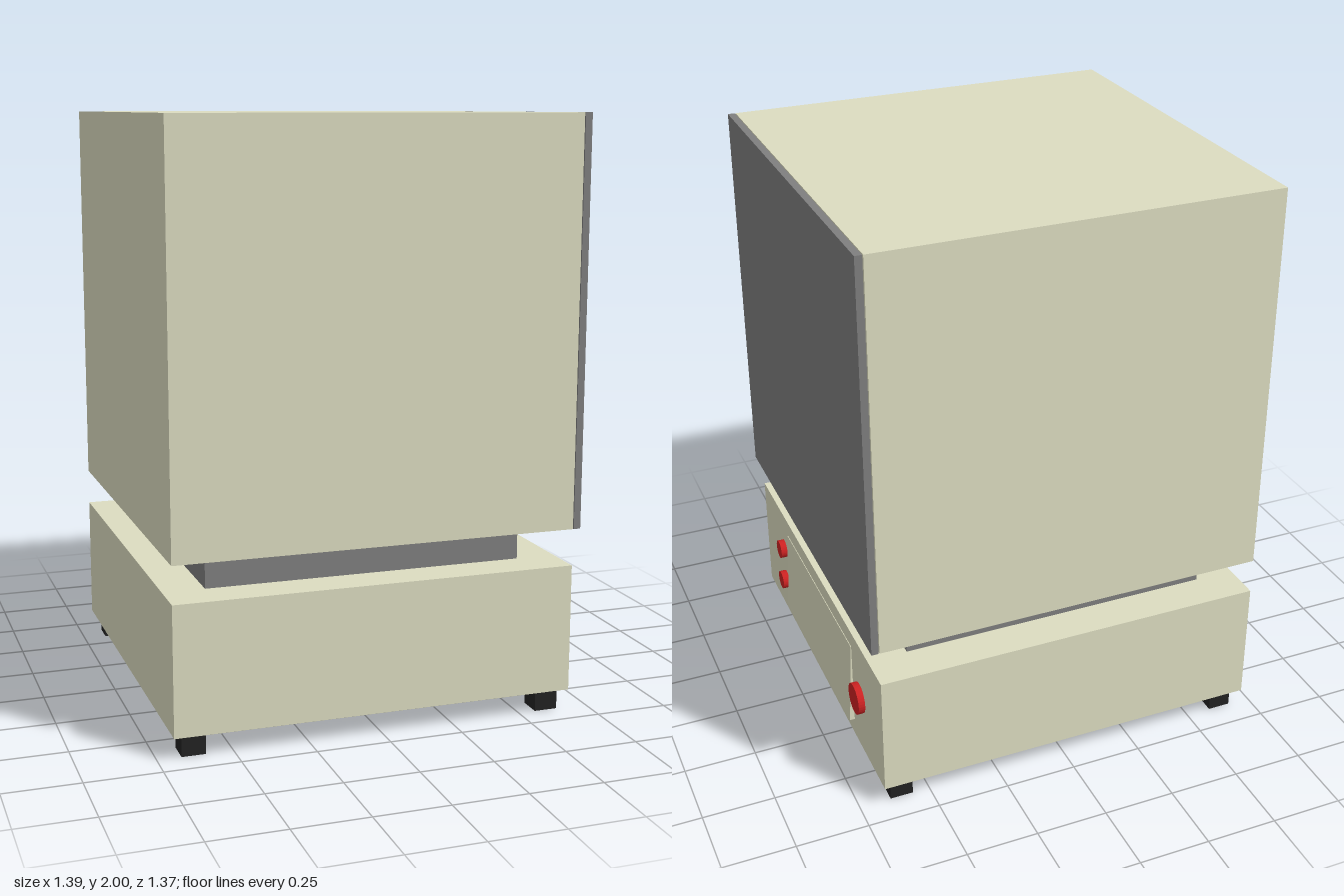
import * as THREE from 'three';

const mat = (color) => new THREE.MeshStandardMaterial({ color, flatShading: true });

export function createModel() {
  const group = new THREE.Group();
  const cream = mat(0xdcdcc0), grey = mat(0x7f7f7f), black = mat(0x222222), red = mat(0xcc2222);

  const add = (name, geometry, material) => {
    const mesh = new THREE.Mesh(geometry, material);
    mesh.name = name;
    group.add(mesh);
    return mesh;
  };
  // Box from its minimum and maximum corners
  const box = (name, material, [x0, y0, z0], [x1, y1, z1]) =>
    add(name, new THREE.BoxGeometry(x1 - x0, y1 - y0, z1 - z0), material)
      .position.set((x0 + x1) / 2, (y0 + y1) / 2, (z0 + z1) / 2);

  // Cabinet, door, recessed neck and base
  box('cabinet', cream, [-0.7, 0.635, -0.685], [0.668, 2, 0.685]);
  box('door', grey, [0.671, 0.635, -0.685], [0.695, 2, 0.685]);
  box('neck', grey, [-0.56, 0.51, -0.55], [0.53, 0.635, 0.55]);
  box('base', cream, [-0.7, 0.075, -0.685], [0.668, 0.51, 0.685]);

  // Feet
  for (const x of [-0.63, 0.6])
    for (const z of [-0.615, 0.615])
      box('foot', black, [x - 0.04, 0, z - 0.04], [x + 0.04, 0.075, z + 0.04]);

  // Control panel: a thin wedge leaning out at its lower edge
  const wedge = new THREE.Shape([
    new THREE.Vector2(0.66, 0.14), new THREE.Vector2(0.685, 0.14),
    new THREE.Vector2(0.67, 0.45), new THREE.Vector2(0.66, 0.45),
  ]);
  const panel = new THREE.ExtrudeGeometry(wedge, { depth: 0.75, bevelEnabled: false });
  add('controlPanel', panel.translate(0, 0, -0.375), cream);

  // Round controls on the side of the base
  const control = (name, radius, y, z) => {
    const disc = new THREE.CylinderGeometry(radius, radius, 0.03, 32).rotateZ(-Math.PI / 2);
    add(name, disc, red).position.set(0.676, y, z);
  };
  control('upperButton', 0.034, 0.36, 0.435);
  control('lowerButton', 0.034, 0.22, 0.435);
  control('knob', 0.055, 0.29, -0.45);

  return group;
}
